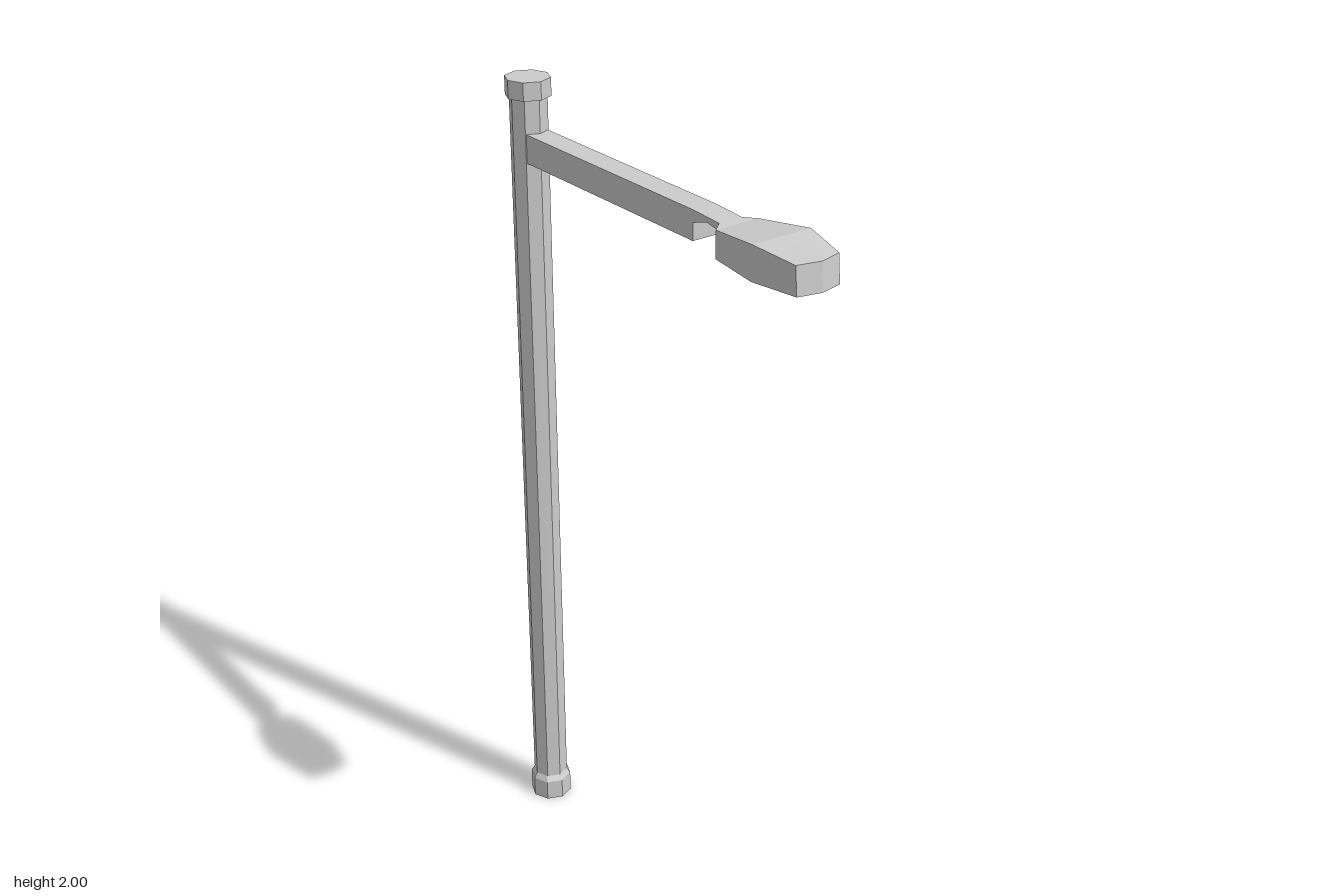
import * as THREE from 'three';

const POLE_Z = -0.483;

// Closed hull through cross-sections along z: [z, halfWidth, bottom, top, centreBulge, topSetback]
function loft(sections) {
  const pos = [], idx = [];
  for (const [z, w, b, t, bulge = 0, back = 0] of sections) {
    pos.push(-w, b, z, 0, b, z + bulge, w, b, z);
    pos.push(w, t, z - back, 0, t, z + bulge - back, -w, t, z - back);
  }
  const quad = (a, b, c, d) => idx.push(a, b, c, a, c, d);
  for (let k = 0; k < sections.length - 1; k++) {
    for (let i = 0; i < 6; i++) {
      const j = (i + 1) % 6, o = k * 6;
      quad(o + i, o + j, o + 6 + j, o + 6 + i);
    }
  }
  // End faces
  const e = (sections.length - 1) * 6;
  quad(e, e + 1, e + 4, e + 5);
  quad(e + 1, e + 2, e + 3, e + 4);
  quad(5, 4, 1, 0);
  quad(4, 3, 2, 1);
  const geo = new THREE.BufferGeometry();
  geo.setAttribute('position', new THREE.Float32BufferAttribute(pos, 3));
  geo.setIndex(idx);
  const flat = geo.toNonIndexed();
  flat.computeVertexNormals();
  return flat;
}

export function createModel() {
  const group = new THREE.Group();
  const mat = new THREE.MeshStandardMaterial({
    color: 0xcccccc, flatShading: true, side: THREE.DoubleSide,
  });
  const add = (name, geo, z = 0) => {
    const mesh = new THREE.Mesh(geo, mat);
    mesh.name = name;
    mesh.position.z = z;
    group.add(mesh);
  };
  const octagon = (points) =>
    new THREE.LatheGeometry(points.map(([r, y]) => new THREE.Vector2(r, y)), 8);

  // Eight-sided upright: flared foot, shaft and top cap
  add('poleFoot', octagon([[0.054, 0], [0.054, 0.055], [0.045, 0.07]]), POLE_Z);
  add('poleShaft', octagon([[0.045, 0.07], [0.045, 1.957]]), POLE_Z);
  add('poleCap', octagon([[0.045, 1.957], [0.054, 1.957], [0.054, 2], [0, 2]]), POLE_Z);

  // Horizontal arm
  add('arm', loft([
    [-0.47, 0.03, 1.81, 1.878],
    [0.165, 0.03, 1.81, 1.878],
  ]));

  // Thin arched neck, flaring into the lamp head
  add('neck', loft([
    [0.165, 0.03, 1.85, 1.878],
    [0.21, 0.03, 1.864, 1.876],
    [0.25, 0.03, 1.857, 1.874],
    [0.272, 0.056, 1.852, 1.872],
  ]));

  // Lamp head: widest and tallest in the middle, pointed nose
  add('lampHead', loft([
    [0.272, 0.056, 1.81, 1.872],
    [0.41, 0.076, 1.81, 1.888],
    [0.524, 0.056, 1.81, 1.874, 0.013, 0.006],
  ]));

  return group;
}
